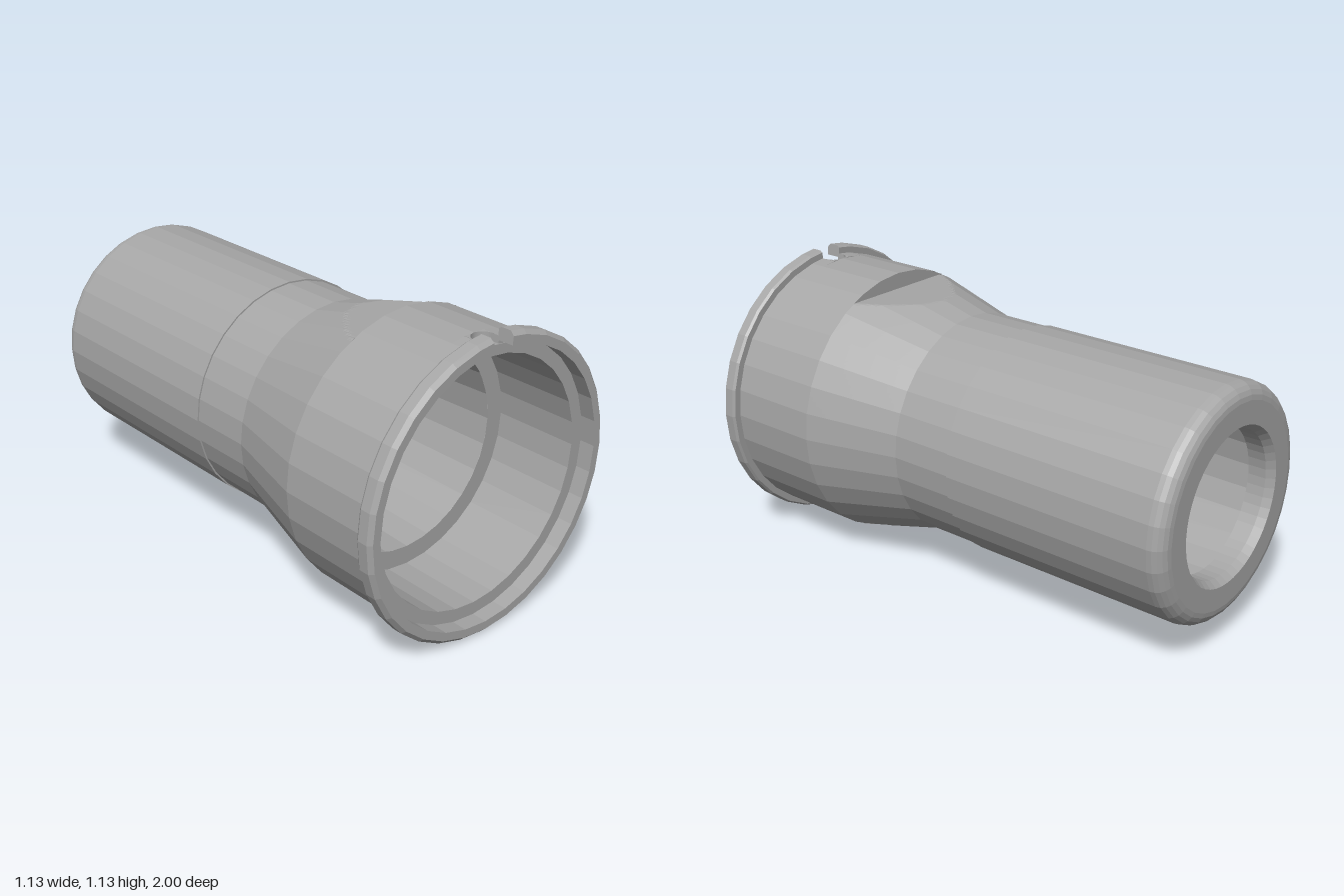
import * as THREE from 'three';

const SIDES = 32;
const STEP = (Math.PI * 2) / SIDES;
const FLAT_Y = 0.472; // half height between the two flats
const STEP_Z = 0.555; // where the flats end against the front collar

// Faceted normals
function facet(geometry) {
  const g = geometry.index ? geometry.toNonIndexed() : geometry;
  g.computeVertexNormals();
  return g;
}

// Revolve [radius, z] points around the z axis; phi = PI is the top
function revolve(points, sides = SIDES, start = 0, length = Math.PI * 2) {
  const profile = points.map(([r, z]) => new THREE.Vector2(r, z));
  return new THREE.LatheGeometry(profile, sides, start, length).rotateX(Math.PI / 2);
}

// Scale that places a direction on the sides of the 32-sided outline
function polygonScale(angle) {
  const off = (((angle % STEP) + STEP) % STEP) - STEP / 2;
  return Math.cos(STEP / 2) / Math.cos(off);
}

export function createModel() {
  const group = new THREE.Group();
  group.name = 'sleeve';
  const gray = new THREE.MeshStandardMaterial({ color: 0xa6a6a6, side: THREE.DoubleSide });
  gray.name = 'gray';

  const add = (name, geometry) => {
    const mesh = new THREE.Mesh(facet(geometry), gray);
    mesh.name = name;
    mesh.position.y = 0.567;
    group.add(mesh);
    return mesh;
  };

  // Rear tube with rounded end and a slight step to the neck
  const rear = [[0.325, -1]];
  for (let i = 0; i <= 5; i++) {
    const a = (i / 5) * Math.PI / 2;
    rear.push([0.383 + 0.06 * Math.sin(a), -0.94 - 0.06 * Math.cos(a)]);
  }
  rear.push([0.443, -0.075], [0.437, -0.075], [0.437, 0.18]);
  add('rearTube', revolve(rear));

  // Chamfered rear opening and its inner wall
  add('rearOpening', revolve(
    [[0.339, -0.9], [0.275, -0.9], [0.275, -0.97], [0.296, -1], [0.33, -1]], 48));

  // Tapered bore
  add('bore', revolve([[0.398, 0.6], [0.337, -0.9]], 24));

  // Flaring shoulder, trimmed flat at the top and bottom
  const rows = [];
  for (let i = 0; i <= 24; i++) {
    const t = i / 24;
    rows.push([0.437 + 0.098 * t, 0.18 + (STEP_Z - 0.18) * t]);
  }
  const shoulder = revolve(rows, 192);
  const p = shoulder.attributes.position;
  for (let i = 0; i < p.count; i++) {
    const k = polygonScale(Math.atan2(p.getY(i), p.getX(i)));
    const y = THREE.MathUtils.clamp(p.getY(i) * k, -FLAT_Y, FLAT_Y);
    p.setXYZ(i, p.getX(i) * k, y, p.getZ(i));
  }
  add('shoulder', shoulder);

  // Step faces behind the collar at each flat
  const half = Math.acos(FLAT_Y / 0.535);
  const outline = [];
  for (let i = 0; i <= 24; i++) {
    const a = Math.PI / 2 - half + (i / 24) * 2 * half;
    const r = 0.535 * polygonScale(a);
    outline.push(new THREE.Vector2(r * Math.cos(a), Math.max(FLAT_Y, r * Math.sin(a))));
  }
  for (const [name, turn] of [['topStep', 0], ['bottomStep', Math.PI]]) {
    const face = new THREE.ShapeGeometry(new THREE.Shape(outline));
    add(name, face.rotateY(Math.PI).rotateZ(turn).translate(0, 0, STEP_Z));
  }

  // Collar with the floor of the notch and the stepped socket inside
  add('collar', revolve([[0.535, STEP_Z], [0.535, 0.87], [0.508, 0.87], [0.508, 0.94],
    [0.47, 0.94], [0.47, 0.6]]));
  add('socketLedge', revolve([[0.472, 0.6], [0.397, 0.6]]));

  // Front rim, open at the notch on top
  const rim = [[0.535, 0.87], [0.535, 0.935], [0.56, 0.935], [0.567, 0.945],
    [0.567, 0.985], [0.552, 1], [0.52, 1], [0.52, 0.94], [0.508, 0.94]];
  const gap = 0.0835;
  add('frontRim', revolve(rim, SIDES - 2, Math.PI + STEP, Math.PI * 2 - 2 * STEP));
  add('frontRimRight', revolve(rim, 1, Math.PI + gap, STEP - gap));
  add('frontRimLeft', revolve(rim, 1, Math.PI - STEP, STEP - gap));

  // Side walls of the notch
  const section = new THREE.Shape([...rim, [0.508, 0.87]].map(([r, z]) => new THREE.Vector2(r, z)));
  for (const side of [-1, 1]) {
    const wall = new THREE.ShapeGeometry(section).rotateX(Math.PI / 2);
    add(side > 0 ? 'notchWallLeft' : 'notchWallRight', wall.rotateZ(Math.PI / 2 - side * gap));
  }

  // Rounded inner end of the notch
  const end = new THREE.Shape();
  end.moveTo(-0.045, 0.87);
  end.lineTo(0.045, 0.87);
  end.lineTo(0.045, 0.915);
  end.absarc(0, 0.915, 0.045, 0, -Math.PI, true);
  end.lineTo(-0.045, 0.87);
  const endBlock = new THREE.ExtrudeGeometry(end, { depth: 0.027, bevelEnabled: false, curveSegments: 12 });
  add('notchEnd', endBlock.rotateX(Math.PI / 2).translate(0, 0.534, 0));

  return group;
}
